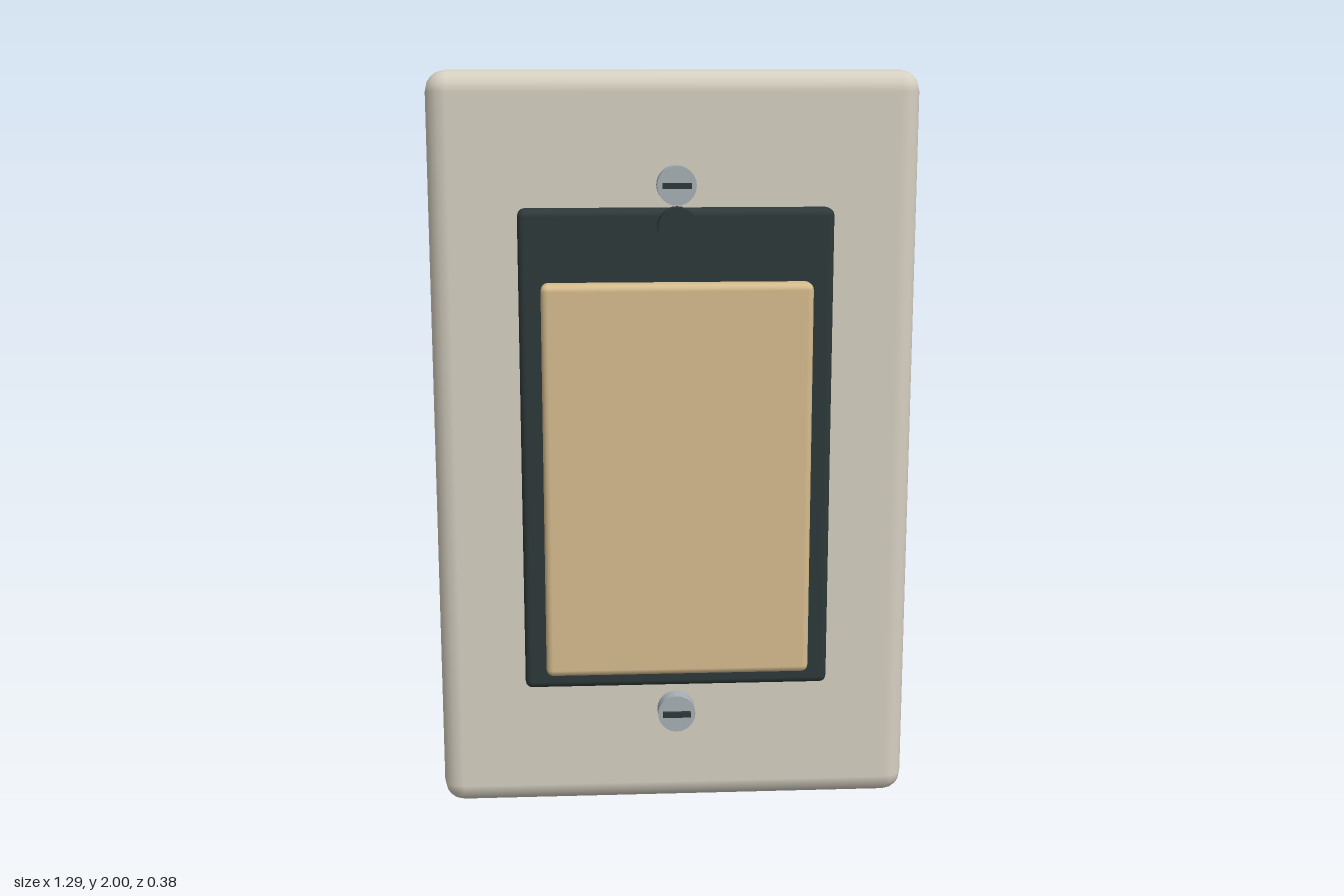
import * as THREE from 'three';
import { RoundedBoxGeometry } from 'three/addons/geometries/RoundedBoxGeometry.js';

const material = (name, color) => {
  const m = new THREE.MeshStandardMaterial({ color });
  m.name = name;
  return m;
};

export function createModel() {
  const ivory = material('ivory', 0xd6d0c1);
  const tan = material('tan', 0xd6bc8e);
  const charcoal = material('charcoal', 0x2e3939);
  const steel = material('steel', 0xa6b0b4);

  const model = new THREE.Group();
  model.name = 'wallSwitch';

  const add = (parent, name, geometry, mat, x, y, z) => {
    const mesh = new THREE.Mesh(geometry, mat);
    mesh.name = name;
    mesh.position.set(x, y, z);
    parent.add(mesh);
    return mesh;
  };

  // Rounded slab given by its half width, bottom, top, back and front
  const slab = (name, mat, halfWidth, y0, y1, z0, z1, radius) =>
    add(model, name, new RoundedBoxGeometry(halfWidth * 2, y1 - y0, z1 - z0, 2, radius),
      mat, 0, (y0 + y1) / 2, (z0 + z1) / 2);

  // Disc facing the front
  const disc = (parent, name, mat, radius, y, z0, z1) => {
    const geometry = new THREE.CylinderGeometry(radius, radius, z1 - z0, 24).rotateX(Math.PI / 2);
    return add(parent, name, geometry, mat, 0, y, (z0 + z1) / 2);
  };

  // Wall plate, recessed frame and rocker
  slab('wallPlate', ivory, 0.643, 0, 2, -0.188, 0.07, 0.055);
  slab('frame', charcoal, 0.41, 0.36, 1.65, 0.03, 0.134, 0.018);
  slab('rocker', tan, 0.352, 0.41, 1.463, 0.09, 0.188, 0.018);

  // Round indicator above the rocker
  disc(model, 'indicator', charcoal, 0.051, 1.607, 0.13, 0.179);

  // Slotted screws
  for (const [name, y] of [['topScrew', 1.71], ['bottomScrew', 0.28]]) {
    const screw = new THREE.Group();
    screw.name = name;
    screw.position.y = y;
    disc(screw, 'screwHead', steel, 0.051, 0, 0.09, 0.136);
    add(screw, 'screwSlot', new THREE.BoxGeometry(0.075, 0.015, 0.012), charcoal, 0, 0, 0.14);
    model.add(screw);
  }

  return model;
}
